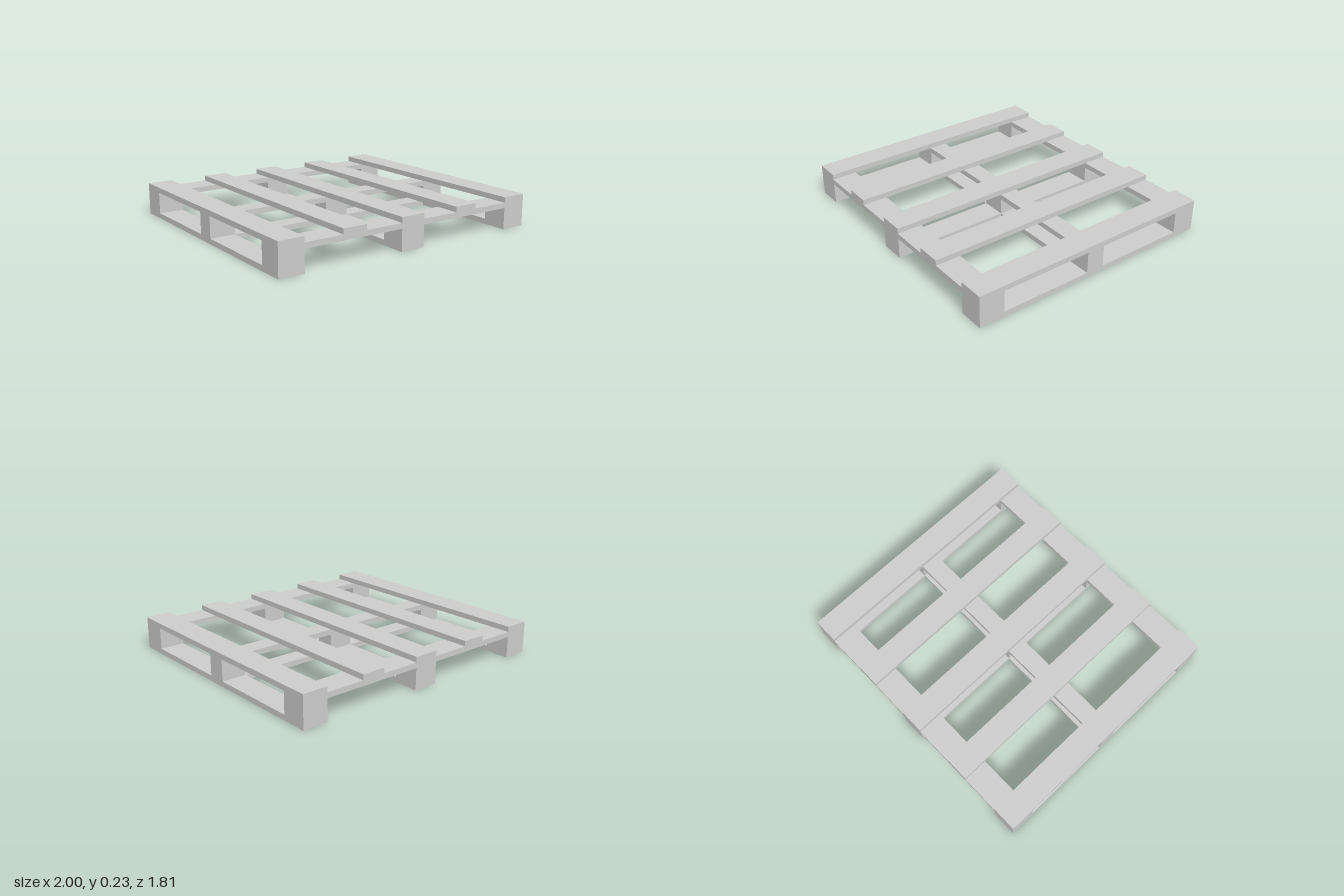
import * as THREE from 'three';

const HALF_X = 1, HALF_Z = 0.907;   // footprint
const BOARD = 0.18;                 // board and corner block width
const MID = 0.134;                  // depth of the middle blocks and boards
const T = 0.038;                    // board thickness
const TOP = 0.228;                  // overall height

export function createModel() {
  const pallet = new THREE.Group();
  pallet.name = 'pallet';
  const material = new THREE.MeshStandardMaterial({ color: 0xcccccc, flatShading: true });

  const add = (name, geometry, x, y, z) => {
    const mesh = new THREE.Mesh(geometry, material);
    mesh.name = name;
    mesh.position.set(x, y, z);
    pallet.add(mesh);
  };

  // Runner: top board, three blocks and bottom board as one side profile with fork openings
  const profile = new THREE.Shape();
  profile.moveTo(-HALF_Z, 0).lineTo(HALF_Z, 0).lineTo(HALF_Z, TOP).lineTo(-HALF_Z, TOP).closePath();
  for (const side of [-1, 1]) {
    const inner = side * MID / 2, outer = side * (HALF_Z - BOARD);
    const opening = new THREE.Path();
    opening.moveTo(inner, T).lineTo(outer, T).lineTo(outer, TOP - T).lineTo(inner, TOP - T).closePath();
    profile.holes.push(opening);
  }
  const runner = new THREE.ExtrudeGeometry(profile, { depth: BOARD, bevelEnabled: false });
  runner.translate(0, 0, -BOARD / 2);
  runner.rotateY(Math.PI / 2);
  const runnerX = HALF_X - BOARD / 2;
  for (const x of [-runnerX, 0, runnerX]) add('runner', runner, x, 0, 0);

  const span = HALF_X - BOARD * 1.5;   // gap between neighbouring runners
  for (const side of [-1, 1]) {
    const x = side * runnerX / 2;

    // Intermediate top slat
    add('topSlat', new THREE.BoxGeometry(BOARD * 0.97, T, HALF_Z * 2), x, TOP - T / 2, 0);

    // Cross boards under the slats, at both ends and the middle
    for (const [z, depth] of [[-HALF_Z + BOARD / 2, BOARD], [0, MID], [HALF_Z - BOARD / 2, BOARD]]) {
      add('crossBoard', new THREE.BoxGeometry(span, T, depth), x, TOP - T * 1.5, z);
    }

    // Bottom cross board, flush with the runners
    add('bottomBoard', new THREE.BoxGeometry(span, T, MID), x, T / 2, 0);
  }
  return pallet;
}
